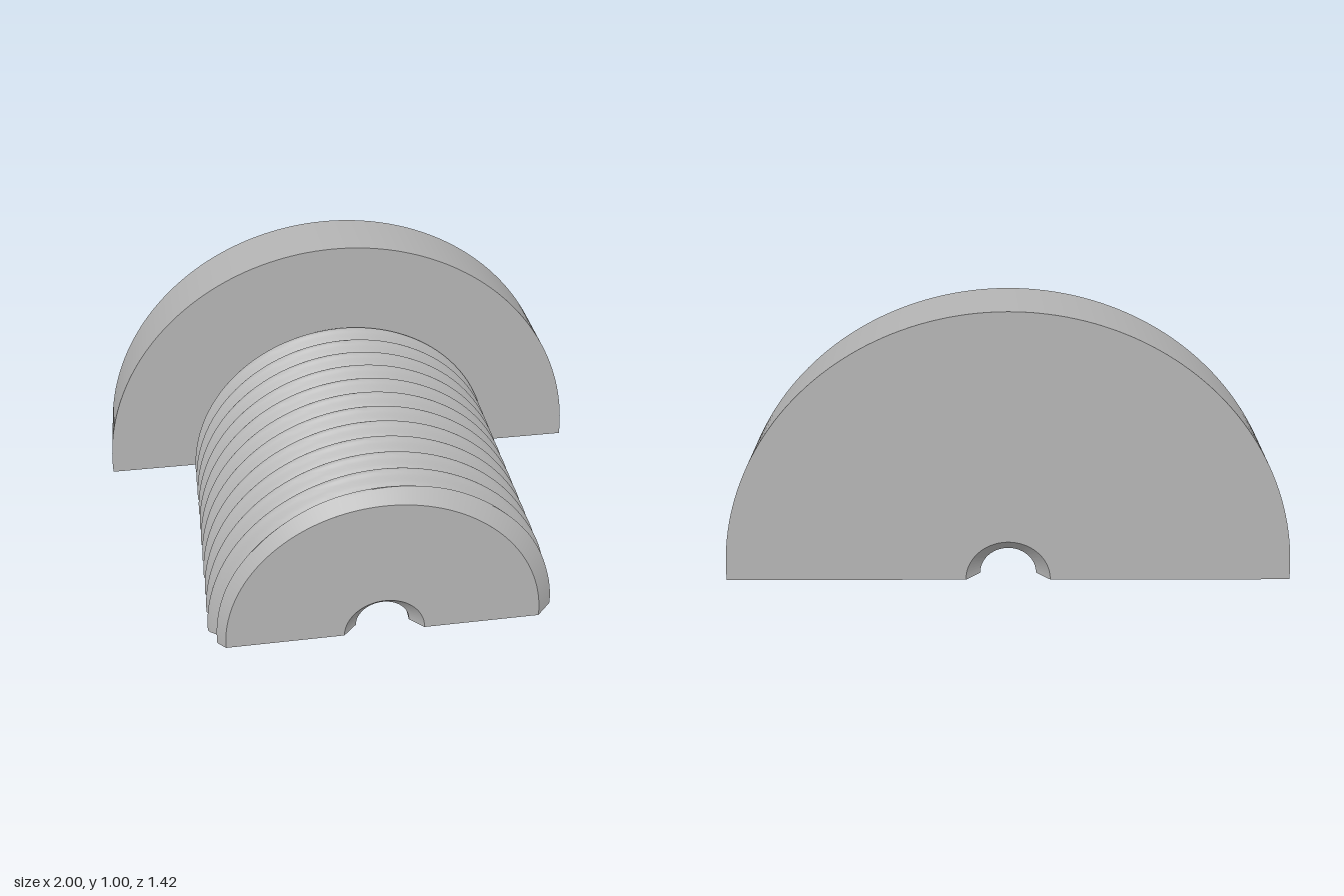
import * as THREE from 'three';
import { toCreasedNormals } from 'three/addons/utils/BufferGeometryUtils.js';

const FRONT = 0.71, BACK = -0.71, SHOULDER = -0.445, PITCH = 0.1;
const BORE = 0.1, BORE_MOUTH = 0.15, BEVEL = 0.05, TIP = 0.585;

// Radius of the helical thread, cut by the 45 degree bevel at the tip
function threadRadius(z, angle) {
  const crest = 0.555 + PITCH * angle / (2 * Math.PI);
  const wave = 0.622 + 0.0235 * Math.cos(2 * Math.PI * (z - crest) / PITCH);
  return Math.min(wave, TIP + FRONT - z);
}

// Half turn about the z axis of an (r, z) profile, upper side only
function halfTurn(profile) {
  const points = profile.map(([r, z]) => new THREE.Vector2(r, z));
  const geo = new THREE.LatheGeometry(points, 96, Math.PI / 2, Math.PI);
  geo.rotateX(Math.PI / 2);
  return toCreasedNormals(geo, 0.5);
}

// Thread surface whose rows follow the helix
function threadGeometry() {
  const across = 72, step = PITCH / 20;
  const start = SHOULDER - PITCH / 2, rows = Math.ceil((FRONT - start) / step);
  const pos = [], index = [];
  for (let i = 0; i <= rows; i++) {
    for (let j = 0; j <= across; j++) {
      const a = Math.PI * j / across;
      const z = THREE.MathUtils.clamp(start + i * step + PITCH * a / (2 * Math.PI), SHOULDER, FRONT);
      const r = threadRadius(z, a);
      pos.push(r * Math.cos(a), r * Math.sin(a), z);
      if (i < rows && j < across) {
        const k = i * (across + 1) + j, n = k + across + 1;
        index.push(k, k + 1, n, k + 1, n + 1, n);
      }
    }
  }
  const geo = new THREE.BufferGeometry();
  geo.setAttribute('position', new THREE.Float32BufferAttribute(pos, 3));
  geo.setIndex(index);
  return toCreasedNormals(geo, 0.6);
}

// One side of the flat cut face, with its round pin hole
function cutFace(side, pin) {
  const angle = side > 0 ? 0 : Math.PI;
  const outline = [[BORE, FRONT - BEVEL], [BORE_MOUTH, FRONT]];
  const n = 231;
  for (let i = 0; i <= n; i++) {
    const z = FRONT + (SHOULDER - FRONT) * i / n;
    outline.push([threadRadius(z, angle), z]);
  }
  outline.push([1, SHOULDER], [1, BACK], [BORE_MOUTH, BACK], [BORE, BACK + BEVEL]);
  const shape = new THREE.Shape(outline.map(([x, z]) => new THREE.Vector2(side * x, z)));
  shape.holes.push(new THREE.Path().absarc(side * pin.x, pin.z, pin.r, 0, Math.PI * 2));
  return new THREE.ShapeGeometry(shape, 32).rotateX(Math.PI / 2);
}

export function createModel() {
  const group = new THREE.Group();
  const grey = new THREE.MeshStandardMaterial({ color: 0xb4b4b4 });
  grey.name = 'plain grey';
  const add = (name, geo) => {
    const mesh = new THREE.Mesh(geo, grey);
    mesh.name = name;
    group.add(mesh);
    return mesh;
  };

  // Half-round head, running into the rear bevel of the bore
  add('head', halfTurn([
    [BORE, BACK + BEVEL], [BORE_MOUTH, BACK], [1, BACK], [1, SHOULDER], [0.59, SHOULDER],
  ]));

  // Threaded shank
  add('thread', threadGeometry());

  // Tip face, front bevel and the long bore
  add('tipAndBore', halfTurn([
    [TIP, FRONT], [BORE_MOUTH, FRONT], [BORE, FRONT - BEVEL], [BORE, BACK + BEVEL],
  ]));

  // Flat underside and blind pin holes, mirrored
  const pin = { x: 0.4, z: 0.135, r: 0.066, depth: 0.2 };
  const pinProfile = [[0, pin.depth], [pin.r, pin.depth], [pin.r, 0]]
    .map(([r, y]) => new THREE.Vector2(r, y));
  for (const side of [1, -1]) {
    const label = side > 0 ? 'left' : 'right';
    add(label + 'CutFace', cutFace(side, pin));
    const hole = add(label + 'PinHole', toCreasedNormals(new THREE.LatheGeometry(pinProfile, 32), 0.5));
    hole.position.set(side * pin.x, 0, pin.z);
  }
  return group;
}
